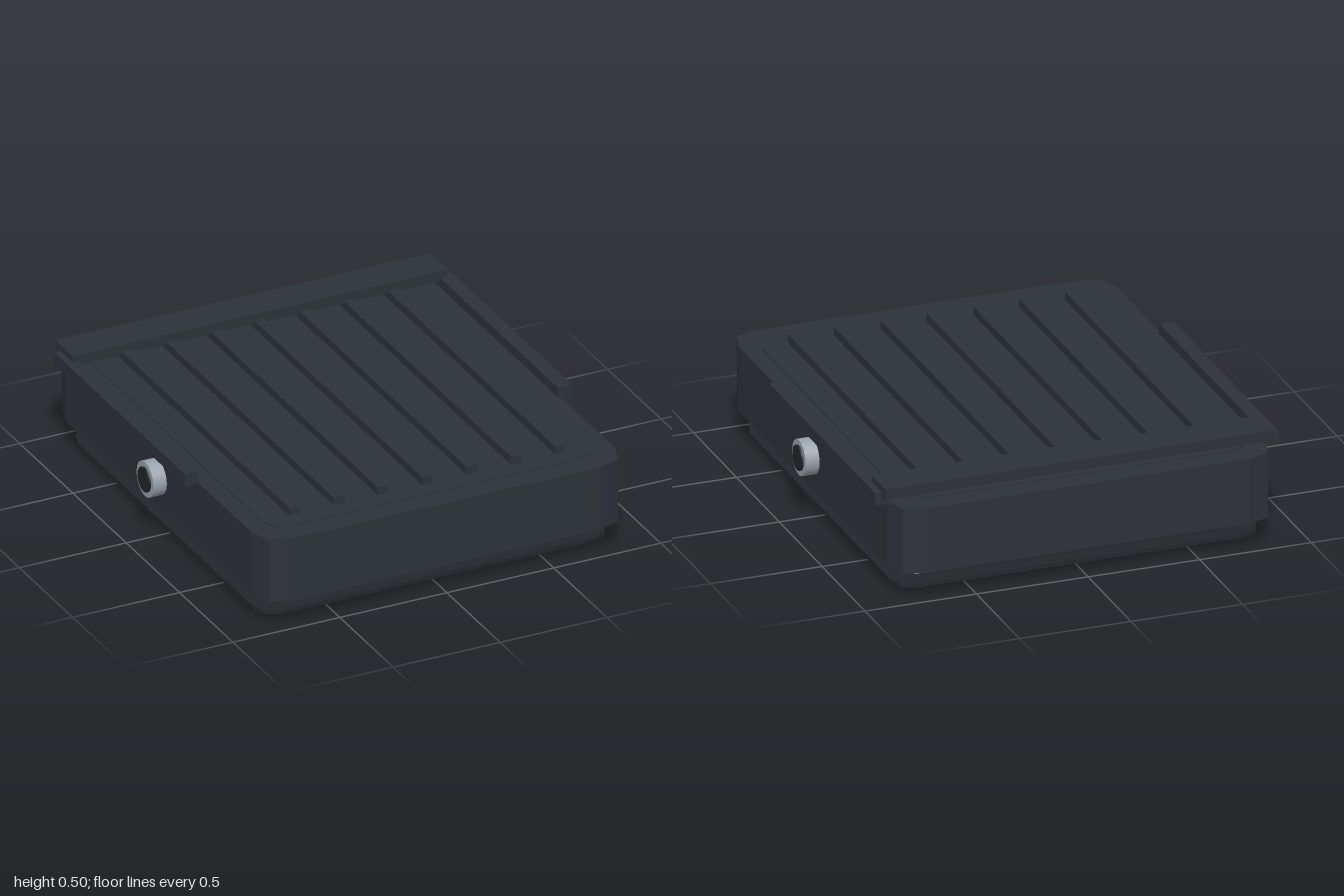
import * as THREE from 'three';

const mat = (color) => new THREE.MeshStandardMaterial({ color });
const shellMat = mat(0x2d3239);
const darkMat = mat(0x22262b);
const metalMat = mat(0x98a2aa);
const panelMat = mat(0xbcc4c9);

// Rectangle with softened corners; w and d are half sizes
function outline(w, d, r, Type = THREE.Shape) {
  const s = new Type();
  s.moveTo(w, -d + r);
  s.lineTo(w, d - r);
  s.quadraticCurveTo(w, d, w - r, d);
  s.lineTo(-w + r, d);
  s.quadraticCurveTo(-w, d, -w, d - r);
  s.lineTo(-w, -d + r);
  s.quadraticCurveTo(-w, -d, -w + r, -d);
  s.lineTo(w - r, -d);
  s.quadraticCurveTo(w, -d, w, -d + r);
  return s;
}

export function createModel() {
  const model = new THREE.Group();
  model.name = 'ruggedCase';

  const add = (name, geometry, material, x = 0, y = 0, z = 0) => {
    const mesh = new THREE.Mesh(geometry, material);
    mesh.name = name;
    mesh.position.set(x, y, z);
    model.add(mesh);
    return mesh;
  };

  // Horizontal slab between heights y0 and y1, optionally with a window
  const slab = (name, w, d, r, y0, y1, material, hole) => {
    const shape = outline(w, d, r);
    if (hole) shape.holes.push(outline(...hole, THREE.Path));
    const g = new THREE.ExtrudeGeometry(shape, { depth: y1 - y0, bevelEnabled: false, curveSegments: 2 });
    g.rotateX(-Math.PI / 2);
    return add(name, g, material, 0, y0, 0);
  };

  // Box given by its limits on each axis
  const box = (name, [x0, x1], [y0, y1], [z0, z1], material) =>
    add(name, new THREE.BoxGeometry(x1 - x0, y1 - y0, z1 - z0), material,
      (x0 + x1) / 2, (y0 + y1) / 2, (z0 + z1) / 2);

  // Main case and lid panel
  slab('caseBody', 0.85, 1, 0.13, 0.13, 0.425, shellMat);
  slab('lidPanel', 0.77, 0.9, 0.1, 0.42, 0.43, shellMat);

  // Lengthwise ribs on the lid
  for (let i = -3; i <= 3; i++) {
    const x = i * 0.207;
    box('lidRib', [x - 0.025, x + 0.025], [0.42, 0.467], [-0.82, 0.82], shellMat);
  }

  // Crossbar at the back of the lid
  box('rearBar', [-0.875, 0.875], [0.453, 0.5], [-0.915, -0.75], shellMat);

  // Side rails and round side knobs
  for (const side of [-1, 1]) {
    const x = side * 0.8725;
    box('sideRail', [x - 0.0325, x + 0.0325], [0.412, 0.47], [-0.87, 0.36], shellMat);
    const ring = add('knobRing', new THREE.CylinderGeometry(0.08, 0.08, 0.08, 20), metalMat, side * 0.872, 0.28, 0);
    const core = add('knobCore', new THREE.CylinderGeometry(0.056, 0.056, 0.07, 20), darkMat, side * 0.885, 0.28, 0);
    ring.rotation.z = core.rotation.z = Math.PI / 2;
  }

  // Thin seal under the case
  slab('lowerSeal', 0.73, 0.81, 0.08, 0.119, 0.13, metalMat, [0.715, 0.795, 0.07]);

  // Separate base: backing plate, light panel, dark strip and frame
  slab('backingPlate', 0.76, 0.855, 0.08, 0.066, 0.073, darkMat);
  slab('lightPanel', 0.745, 0.83, 0.07, 0.053, 0.059, panelMat);
  const strip = slab('darkStrip', 0.69, 0.178, 0.05, 0.047, 0.054, darkMat);
  strip.position.z = -0.657;
  slab('baseFrame', 0.82, 0.915, 0.1, 0.03, 0.047, darkMat, [0.715, 0.81, 0.06]);

  // Four small feet
  for (const x of [-0.73, 0.73]) {
    for (const z of [-0.82, 0.82]) {
      add('foot', new THREE.CylinderGeometry(0.021, 0.021, 0.014, 12), metalMat, x, 0.007, z);
    }
  }

  return model;
}
